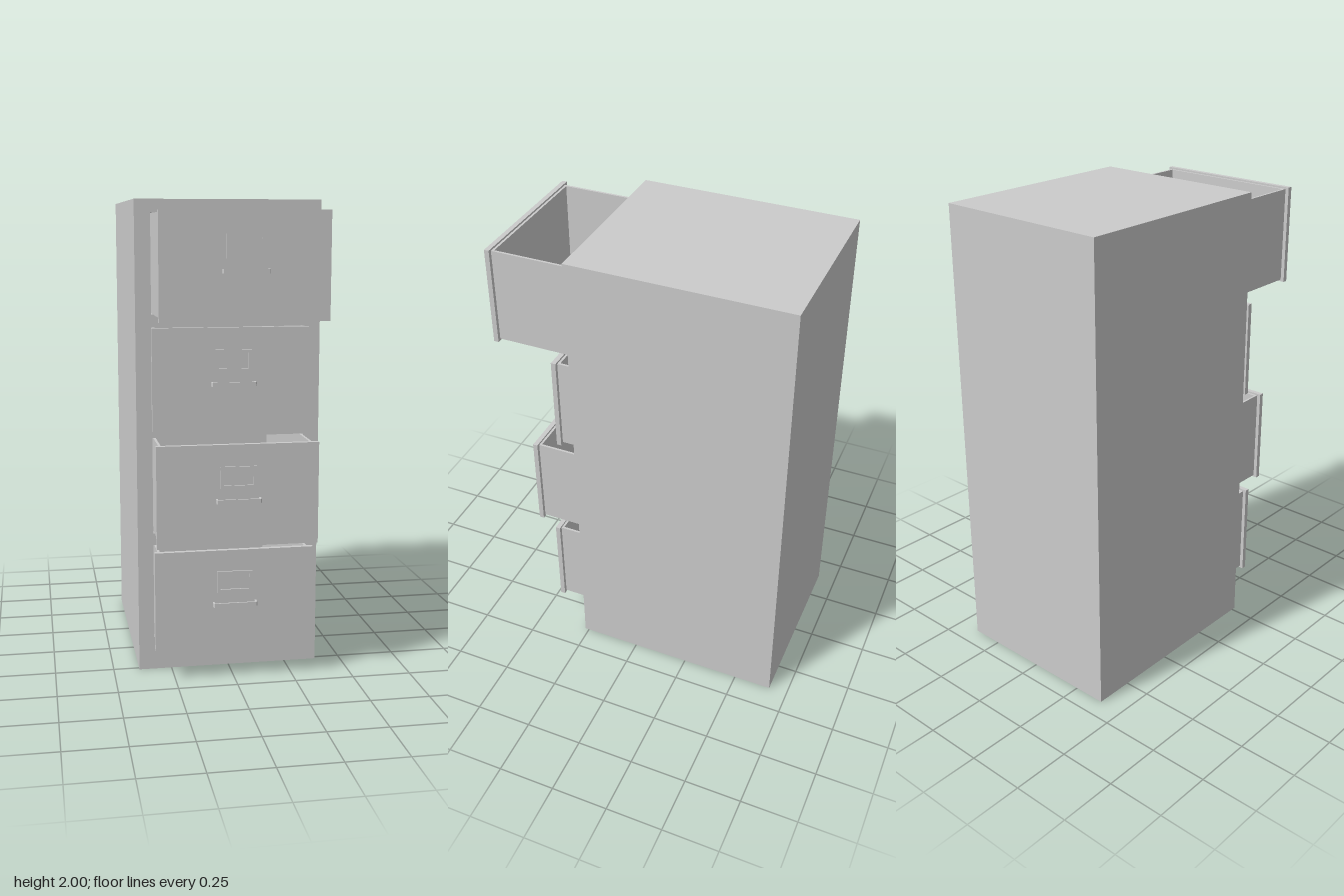
import * as THREE from 'three';

const grey = new THREE.MeshStandardMaterial({ color: 0xcccccc, flatShading: true });

// Drawer centre heights and how far forward each front panel sits
const DRAWERS = [
  { name: 'topDrawer', y: 1.74, front: 0.64 },
  { name: 'upperDrawer', y: 1.274, front: 0.38 },
  { name: 'lowerDrawer', y: 0.812, front: 0.5 },
  { name: 'bottomDrawer', y: 0.349, front: 0.42 },
];
const BODY = { w: 0.78, h: 2, front: 0.268, back: -0.667 };

function mesh(name, geometry, x = 0, y = 0, z = 0) {
  const m = new THREE.Mesh(geometry, grey);
  m.name = name;
  m.position.set(x, y, z);
  return m;
}

function box(name, w, h, d, x, y, z) {
  return mesh(name, new THREE.BoxGeometry(w, h, d), x, y, z);
}

function rect(Type, w, h, cx = 0, cy = 0) {
  const p = new Type();
  p.moveTo(cx - w / 2, cy - h / 2);
  p.lineTo(cx + w / 2, cy - h / 2);
  p.lineTo(cx + w / 2, cy + h / 2);
  p.lineTo(cx - w / 2, cy + h / 2);
  p.closePath();
  return p;
}

function extrude(shape, depth) {
  return new THREE.ExtrudeGeometry(shape, { depth, bevelEnabled: false });
}

// Cabinet shell with one opening per drawer, closed by a back panel
function createCabinet() {
  const g = new THREE.Group();
  g.name = 'cabinet';
  const shape = rect(THREE.Shape, BODY.w, BODY.h, 0, BODY.h / 2);
  for (const d of DRAWERS) shape.holes.push(rect(THREE.Path, 0.648, 0.412, 0, d.y));
  const backT = 0.02;
  g.add(mesh('cabinetShell', extrude(shape, BODY.front - BODY.back - backT), 0, 0, BODY.back + backT));
  g.add(box('backPanel', BODY.w, BODY.h, backT, 0, BODY.h / 2, BODY.back + backT / 2));
  return g;
}

// Drawer with its origin at the centre of the panel's front face
function createDrawer({ name, y, front }) {
  const g = new THREE.Group();
  g.name = name;
  g.position.set(0, y, front);

  const panelT = 0.021, w = 0.638, h = 0.408, t = 0.01, len = 0.9;
  const mid = -panelT - len / 2;
  g.add(box('frontPanel', 0.67, 0.424, panelT, 0, 0, -panelT / 2));

  // Open-topped tray
  for (const s of [-1, 1]) {
    g.add(box(s > 0 ? 'leftWall' : 'rightWall', t, h, len, s * (w - t) / 2, 0, mid));
    g.add(box(s > 0 ? 'innerFront' : 'backWall', w - 2 * t, h, t, 0, 0, mid + s * (len - t) / 2));
  }
  g.add(box('floor', w - 2 * t, t, len - 2 * t, 0, -(h - t) / 2, mid));

  // Label holder frame
  const frame = rect(THREE.Shape, 0.15, 0.092);
  frame.holes.push(rect(THREE.Path, 0.122, 0.064));
  g.add(mesh('labelHolder', extrude(frame, 0.007), 0, 0.076, 0));

  // Bracket-shaped pull, extruded upwards
  const pull = new THREE.Shape();
  const a = 0.093, d = 0.027, p = 0.007, c = 0.004;
  [[-a, 0], [-a + p, 0], [-a + p, d - p], [a - p, d - p], [a - p, 0], [a, 0],
    [a, d - c], [a - c, d], [-a + c, d], [-a, d - c]]
    .forEach(([x, z], i) => (i ? pull.lineTo(x, -z) : pull.moveTo(x, -z)));
  pull.closePath();
  const handle = extrude(pull, 0.017);
  handle.rotateX(-Math.PI / 2);
  g.add(mesh('handle', handle, 0, -0.027, 0));
  return g;
}

export function createModel() {
  const model = new THREE.Group();
  model.name = 'filingCabinet';
  model.add(createCabinet());
  for (const d of DRAWERS) model.add(createDrawer(d));
  return model;
}
